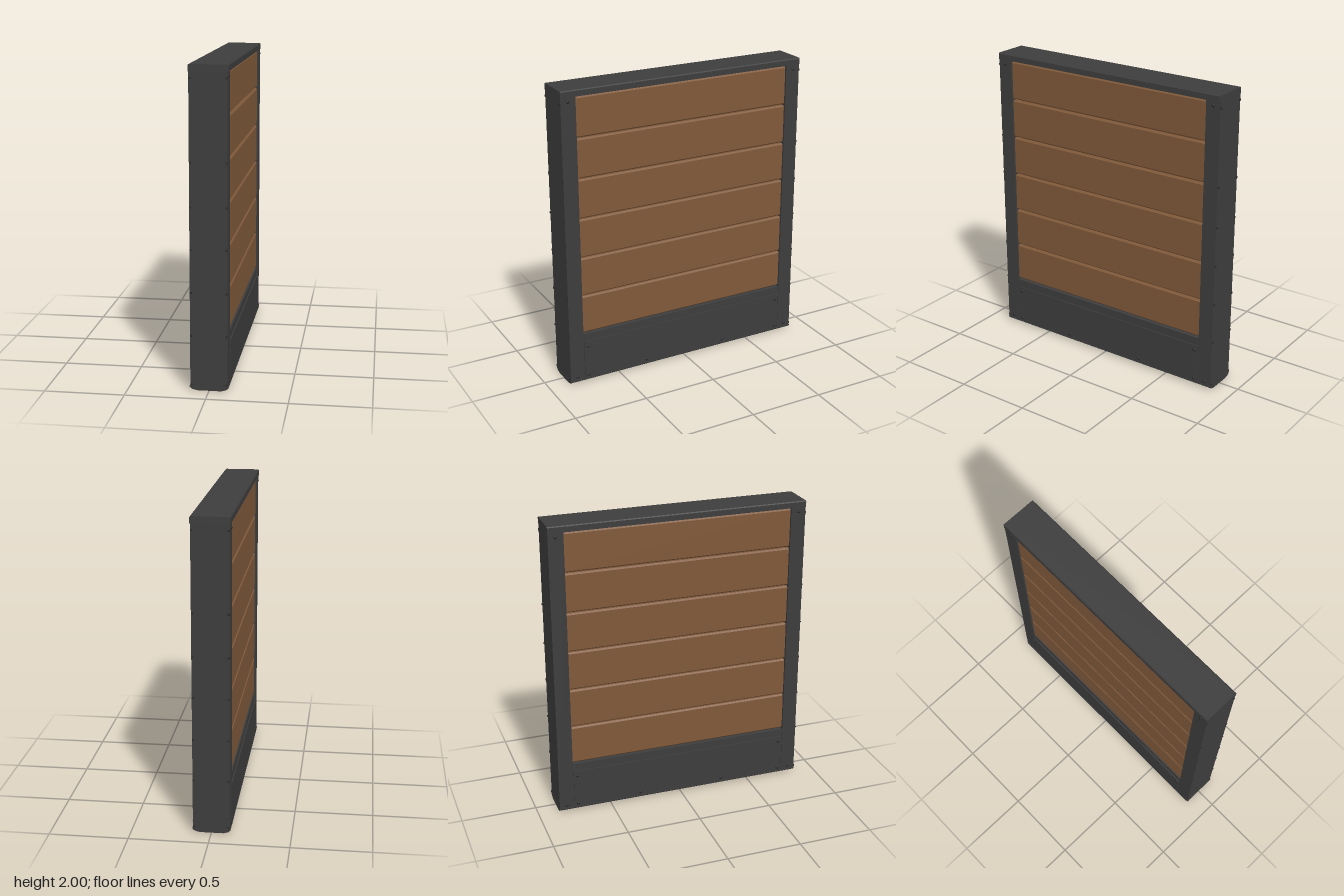
import * as THREE from 'three';

const steel = new THREE.MeshStandardMaterial({ color: 0x3d3d3d });
steel.name = 'dark steel';
const wood = new THREE.MeshStandardMaterial({ color: 0x80593a });
wood.name = 'brown wood';
const boltMat = new THREE.MeshStandardMaterial({ color: 0x2a2a2a });
boltMat.name = 'bolt black';

export function createModel() {
  const group = new THREE.Group();

  const add = (name, geo, mat, x = 0, y = 0, z = 0) => {
    const mesh = new THREE.Mesh(geo, mat);
    mesh.name = name;
    mesh.position.set(x, y, z);
    group.add(mesh);
    return mesh;
  };
  const box = (name, mat, w, h, d, x, y, z) =>
    add(name, new THREE.BoxGeometry(w, h, d), mat, x, y, z);

  // An x/y outline swept along z, centred on z = 0
  const sweep = (points, length) => {
    const shape = new THREE.Shape(points.map(([x, y]) => new THREE.Vector2(x, y)));
    const geo = new THREE.ExtrudeGeometry(shape, { depth: length, bevelEnabled: false });
    return geo.translate(0, 0, -length / 2);
  };

  // Frame: two posts, a cap and a sill with chamfered underside
  for (const s of [1, -1]) box('post', steel, 0.232, 1.94, 0.1, 0, 0.99, s * 0.809);
  add('topCap', sweep([
    [-0.12, 1.958], [0.12, 1.958], [0.12, 1.994], [0.114, 2], [-0.114, 2], [-0.12, 1.994],
  ], 1.72), steel);
  add('sill', sweep([
    [-0.075, 0], [0.075, 0], [0.105, 0.008], [0.12, 0.02], [0.12, 0.026], [-0.12, 0.026], [-0.12, 0.02], [-0.105, 0.008],
  ], 1.72), steel);

  // Lower rail with a raised kick plate on both faces
  box('lowerRail', steel, 0.222, 0.324, 1.518, 0, 0.186, 0);
  for (const s of [1, -1]) box('kickPlate', steel, 0.008, 0.275, 1.51, s * 0.114, 0.157, 0);

  // Chamfered planks, joined by short tongues that leave open slots at the ends
  const pitch = 0.2668, first = 0.358, h = 0.259, t = 0.106, c = 0.009;
  const plankGeo = sweep([
    [-t + c, 0], [t - c, 0], [t, c], [t, h - c], [t - c, h], [-t + c, h], [-t, h - c], [-t, c],
  ], 1.514);
  for (let i = 0; i < 6; i++) {
    const y = first + i * pitch;
    add('plank', plankGeo, wood, 0, y, 0);
    box('tongue', i ? wood : steel, 0.17, 0.014, 1.42, 0, y - 0.004, 0);
  }

  // Domed bolt heads
  const dome = new THREE.SphereGeometry(0.011, 10, 5, 0, Math.PI * 2, 0, Math.PI / 2);
  const bolt = (x, y, z, axis, s) => {
    const m = add('bolt', dome, boltMat, x, y, z);
    if (axis === 'x') m.rotation.z = -s * Math.PI / 2;
    else m.rotation.x = s * Math.PI / 2;
    m.scale.y = 0.75;
  };
  const faceBolts = [
    [0.05, 0.73], [0.05, 0.3], [0.05, -0.29], [0.05, -0.73], [0.26, 0.73], [0.26, -0.73],
  ];
  const postBolts = [[0.05, 0.81], [0.05, -0.81], [1.93, 0.81], [1.93, -0.81]];
  for (const s of [1, -1]) {
    for (const [y, z] of faceBolts) bolt(s * 0.118, y, z, 'x', s);
    for (const [y, z] of postBolts) bolt(s * 0.116, y, z, 'x', s);
  }

  // Small rivets along the outer edge of each post
  const rivet = new THREE.BoxGeometry(0.012, 0.012, 0.008);
  for (const s of [1, -1])
    for (const x of [-0.109, 0.109])
      for (const y of [0.04, 0.35, 0.62, 0.89, 1.15, 1.42, 1.92])
        add('rivet', rivet, boltMat, x, y, s * 0.86);

  return group;
}
